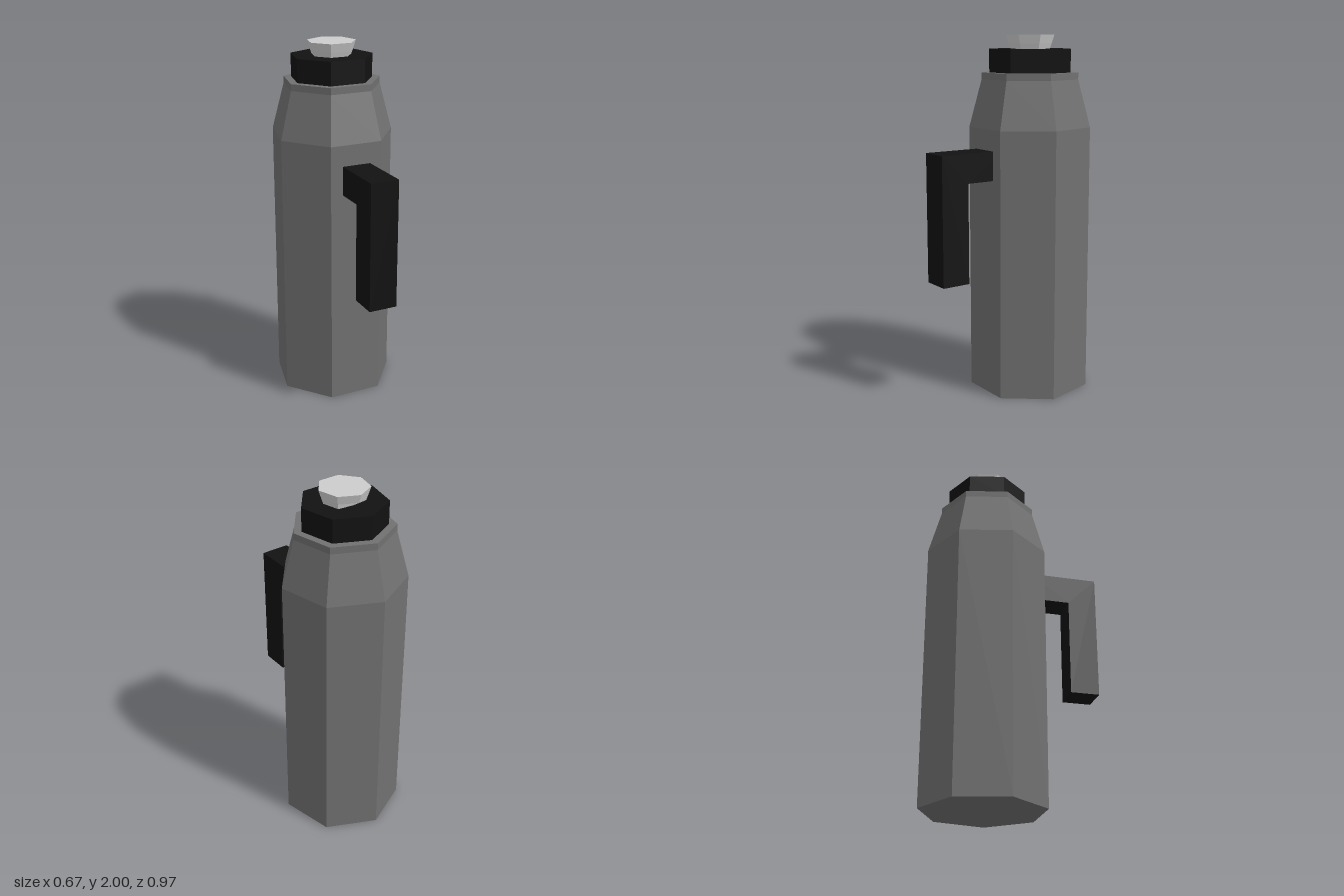
import * as THREE from 'three';

const SIDES = 7;
const AXIS_Z = -0.143; // the bottle axis sits behind the centre, the handle in front

const paint = (color) => new THREE.MeshStandardMaterial({ color, flatShading: true });

// Seven-sided turned part with a corner towards the back; profile is [radius, y] from bottom to top
function turned(name, profile, material) {
  const points = profile.map(([r, y]) => new THREE.Vector2(r, y));
  const geometry = new THREE.LatheGeometry(points, SIDES).rotateY(Math.PI);
  const mesh = new THREE.Mesh(geometry, material);
  mesh.name = name;
  mesh.position.z = AXIS_Z;
  return mesh;
}

export function createModel() {
  const model = new THREE.Group();
  model.name = 'flask';
  const grey = paint(0x707070);
  const black = paint(0x121212);
  const light = paint(0xcccccc);

  // Body with tapered shoulder and short straight neck band
  model.add(turned('body', [
    [0, 0], [0.342, 0], [0.342, 1.5], [0.272, 1.76], [0.272, 1.797], [0, 1.797],
  ], grey));

  // Collar
  model.add(turned('collar', [[0.229, 1.797], [0.229, 1.925], [0, 1.925]], black));

  // Flared stopper: full rim above, stem with its back corner pushed in as a pouring notch
  model.add(turned('stopperRim', [[0, 1.953], [0.121, 1.953], [0.136, 2], [0, 2]], light));
  const stem = turned('stopperStem', [[0.111, 1.925], [0.121, 1.953]], light);
  const pos = stem.geometry.attributes.position;
  for (let i = 0; i < pos.count; i++) {
    if (Math.abs(pos.getX(i)) < 0.001) pos.setZ(i, pos.getZ(i) * 0.7);
  }
  model.add(stem);

  // Handle: L-shaped side profile in (z, y), extruded across x
  const profile = new THREE.Shape([
    [0.1, 1.225], [0.325, 1.225], [0.325, 0.675], [0.487, 0.675], [0.487, 1.385], [0.1, 1.385],
  ].map(([z, y]) => new THREE.Vector2(-z, y)));
  const width = 0.16;
  const handleGeometry = new THREE.ExtrudeGeometry(profile, { depth: width, bevelEnabled: false });
  handleGeometry.translate(0, 0, -width / 2).rotateY(Math.PI / 2);
  const handle = new THREE.Mesh(handleGeometry, black);
  handle.name = 'handle';
  handle.position.x = 0.002;
  model.add(handle);

  return model;
}
